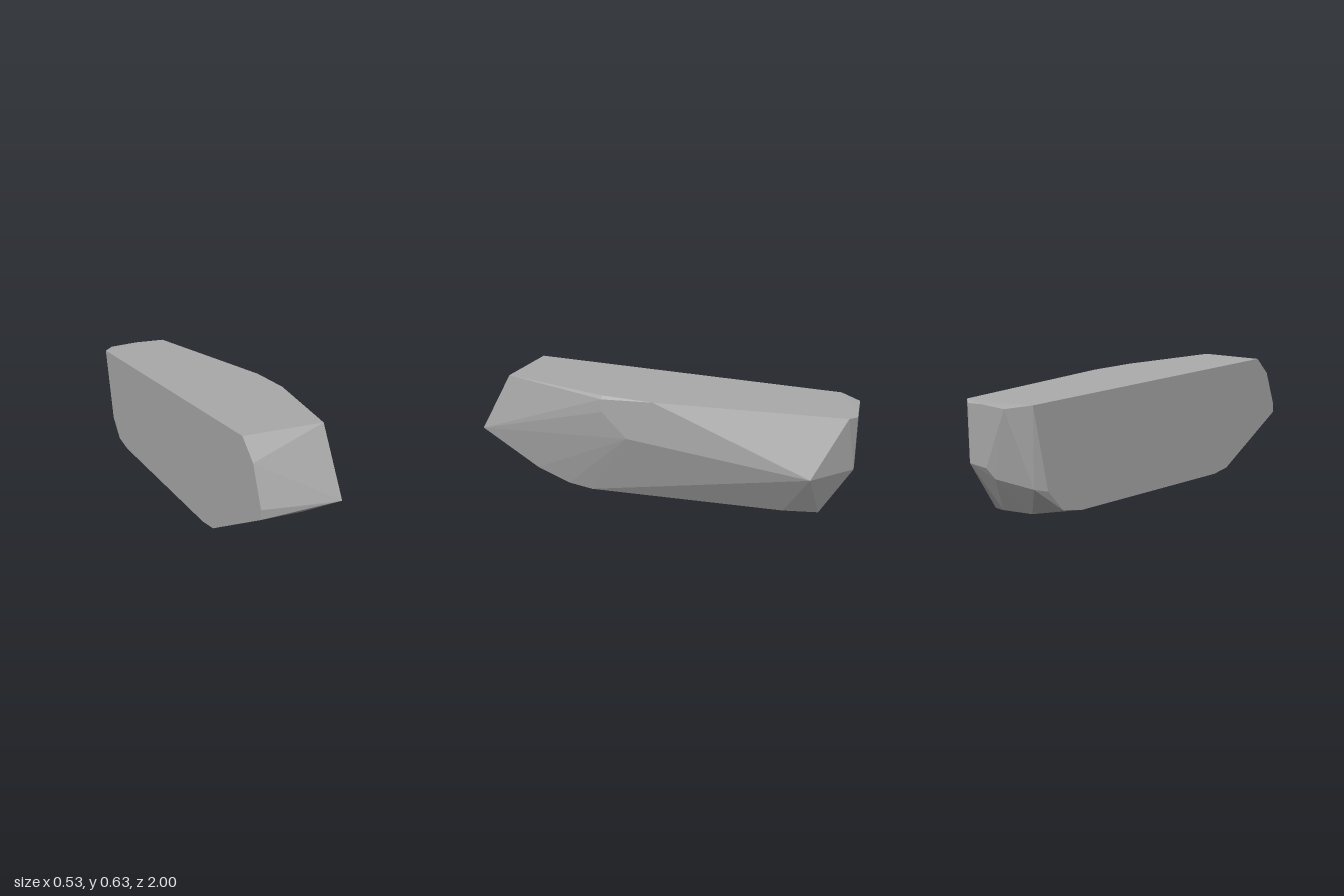
import * as THREE from 'three';
import { ConvexGeometry } from 'three/addons/geometries/ConvexGeometry.js';

// Height of the gently sloping flat top at depth z
const topY = (z) => 0.588 + 0.0493 * z;

export function createModel() {
  const group = new THREE.Group();
  group.name = 'rock';
  const stone = new THREE.MeshStandardMaterial({ color: 0xaaaaaa, flatShading: true });
  stone.name = 'stone grey';

  // Rim of the flat top: [x, z]
  const topRim = [
    [-0.267, 0.79], [0.133, 0.825], [0.256, 0.27], [0.266, 0],
    [0.133, -0.96], [-0.267, -0.9],
  ].map(([x, z]) => [x, topY(z), z]);

  // Profile of the flat left-hand cut: [y, z]
  const cutFace = [
    [0.537, 0.887], [0.345, 0.963], [0.297, 0.963], [0.03, 0.51],
    [0.013, 0.4], [0.013, -0.61], [0.035, -0.73], [0.14, -0.82],
  ].map(([y, z]) => [-0.267, y, z]);

  // Sharp front corner running down to the base: [y, z]
  const frontCorner = [
    [0.313, 1], [0.11, 0.69], [0.035, 0.51], [0.012, 0.38],
  ].map(([y, z]) => [0.133, y, z]);

  // Bulging flank, blunt tail and base
  const flank = [
    [0.266, 0.583, 0.27], [0.266, 0.515, 0.27], [0.266, 0.38, 0.14], [0.266, 0.25, -0.8],
  ];
  const tail = [
    [-0.19, 0.53, -1], [-0.03, 0.535, -1], [0.07, 0.53, -1],
    [0.07, 0.25, -1], [-0.053, 0.245, -1],
    [-0.085, 0.195, -0.975], [-0.24, 0.155, -0.88],
  ];
  const base = [
    [0.127, 0.004, -0.66], [0.095, 0, -0.84], [0.035, 0.003, -0.85],
    [0, 0.015, -0.87], [-0.14, 0.008, -0.81], [0.07, 0.313, 0.995],
  ];

  const points = [topRim, cutFace, frontCorner, flank, tail, base]
    .flat()
    .map((p) => new THREE.Vector3(...p));
  const boulder = new THREE.Mesh(new ConvexGeometry(points), stone);
  boulder.name = 'boulder';
  group.add(boulder);
  return group;
}
